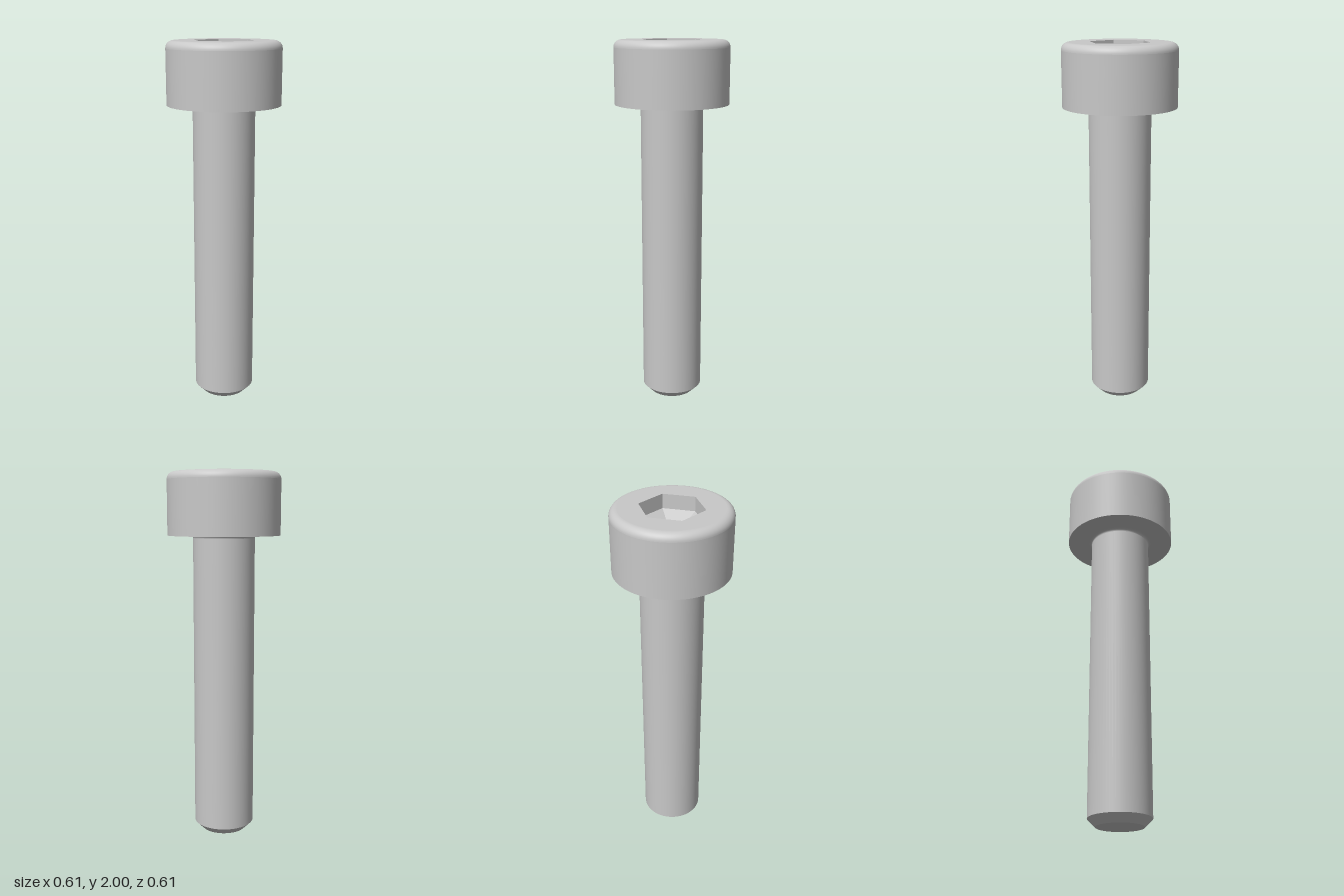
import * as THREE from 'three';

const steel = new THREE.MeshStandardMaterial({ color: 0xc8c8c8 });
steel.name = 'steel';

const SEG = 64;
const HEAD_R = 0.305, HEAD_Y = 1.667, TOP = 2, ROUND = 0.04;
const SHANK_R = 0.167, TIP_R = 0.125, CHAMFER = 0.042, NECK = 0.014;
const HEX_R = 0.167, WALL = 0.075, CONE = 0.092;

function add(group, name, geometry) {
  const mesh = new THREE.Mesh(geometry, steel);
  mesh.name = name;
  group.add(mesh);
}

// One smooth surface of revolution; separate bands keep sharp edges between them
function band(group, name, points) {
  add(group, name, new THREE.LatheGeometry(points.map(([r, y]) => new THREE.Vector2(r, y)), SEG));
}

function arc(cx, cy, radius, from, to, steps) {
  return Array.from({ length: steps + 1 }, (_, i) => {
    const a = from + (to - from) * i / steps;
    return [cx + radius * Math.cos(a), cy + radius * Math.sin(a)];
  });
}

// Turn a solid's skin inside out for a recess, with flat faces
function recess(geometry, y) {
  geometry.scale(-1, 1, 1);
  const flat = geometry.toNonIndexed();
  flat.computeVertexNormals();
  return flat.translate(0, y, 0);
}

export function createModel() {
  const screw = new THREE.Group();
  screw.name = 'socketHeadScrew';

  // Shank with chamfered tip and small fillet under the head
  const shank = new THREE.Group();
  shank.name = 'shank';
  band(shank, 'tipFace', [[0, 0], [TIP_R, 0]]);
  band(shank, 'tipChamfer', [[TIP_R, 0], [SHANK_R, CHAMFER]]);
  band(shank, 'shankSide', [[SHANK_R, CHAMFER], [SHANK_R, HEAD_Y - NECK]]);
  band(shank, 'neckFillet', arc(SHANK_R + NECK, HEAD_Y - NECK, NECK, Math.PI, Math.PI / 2, 5));
  screw.add(shank);

  // Cylindrical head with rounded upper rim
  const head = new THREE.Group();
  head.name = 'head';
  band(head, 'headUnderside', [[SHANK_R + NECK, HEAD_Y], [HEAD_R, HEAD_Y]]);
  band(head, 'headSide', [[HEAD_R, HEAD_Y], [HEAD_R, TOP - ROUND]]);
  band(head, 'headRim', arc(HEAD_R - ROUND, TOP - ROUND, ROUND, 0, Math.PI / 2, 10));

  // Flat top pierced by the hexagon
  const top = new THREE.Shape().absarc(0, 0, HEAD_R - ROUND, 0, Math.PI * 2);
  const hex = Array.from({ length: 6 }, (_, i) => {
    const a = -i * Math.PI / 3;
    return new THREE.Vector2(HEX_R * Math.sin(a), HEX_R * Math.cos(a));
  });
  top.holes.push(new THREE.Path(hex));
  add(head, 'headTop', new THREE.ShapeGeometry(top, SEG).rotateX(-Math.PI / 2).translate(0, TOP, 0));
  screw.add(head);

  // Hexagonal socket: straight walls above a shallow six-sided point
  const socket = new THREE.Group();
  socket.name = 'socket';
  add(socket, 'socketWalls',
    recess(new THREE.CylinderGeometry(HEX_R, HEX_R, WALL, 6, 1, true), TOP - WALL / 2));
  add(socket, 'socketFloor',
    recess(new THREE.ConeGeometry(HEX_R, CONE, 6, 1, true).rotateX(Math.PI), TOP - WALL - CONE / 2));
  screw.add(socket);

  return screw;
}
